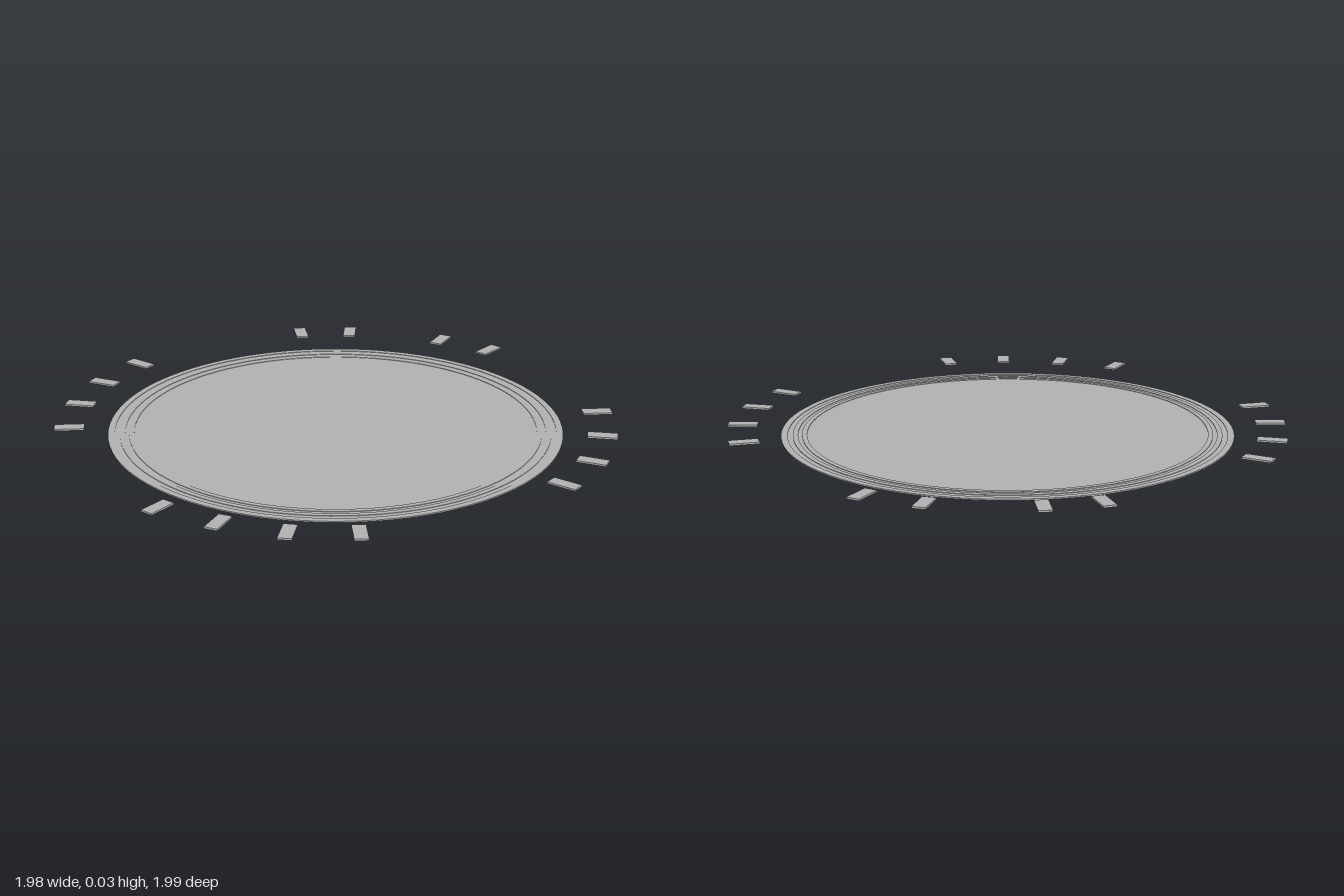
import * as THREE from 'three';

export function createModel() {
  const group = new THREE.Group();
  const grey = new THREE.MeshStandardMaterial({ color: 0xb3b3b3 });
  grey.name = 'grey';
  const cx = -0.01, cz = 0.01;

  // Flat round plate with fine stepped rings around the rim
  const low = 0.003, high = 0.005;
  const steps = [0.865, 0.84, 0.82, 0.8, 0.785, 0.766];
  const profile = [new THREE.Vector2(0, 0), new THREE.Vector2(steps[0], 0)];
  steps.forEach((r, i) => {
    const a = i % 2 ? high : low, b = i % 2 ? low : high;
    if (i > 0) profile.push(new THREE.Vector2(r, a));
    profile.push(new THREE.Vector2(r, b));
  });
  profile.push(new THREE.Vector2(0, low));
  // Separate bands keep the steps sharp
  const plate = new THREE.Group();
  plate.name = 'plate';
  for (let i = 0; i < profile.length - 1; i++) {
    const band = new THREE.Mesh(new THREE.LatheGeometry([profile[i], profile[i + 1]], 96), grey);
    band.name = 'plateBand';
    plate.add(band);
  }
  plate.position.set(cx, 0, cz);
  group.add(plate);

  // Sixteen raised marker blocks, each pointing away from the centre
  const spots = [
    [0.34, -0.94], [0.53, -0.85], [0.82, -0.575], [0.93, -0.37],
    [0.915, 0.42], [0.79, 0.63], [0.615, 0.81], [0.405, 0.93],
    [-0.42, 0.93], [-0.63, 0.81], [-0.8, 0.63], [-0.93, 0.42],
    [-0.93, -0.405], [-0.8, -0.615], [-0.63, -0.79], [-0.42, -0.92],
  ];
  const blockGeometry = new THREE.BoxGeometry(0.05, 0.007, 0.113);
  for (const [x, z] of spots) {
    const block = new THREE.Mesh(blockGeometry, grey);
    block.name = 'markerBlock';
    block.position.set(x, 0.0285, z);
    block.rotation.y = Math.atan2(x - cx, z - cz);
    group.add(block);
  }
  return group;
}
